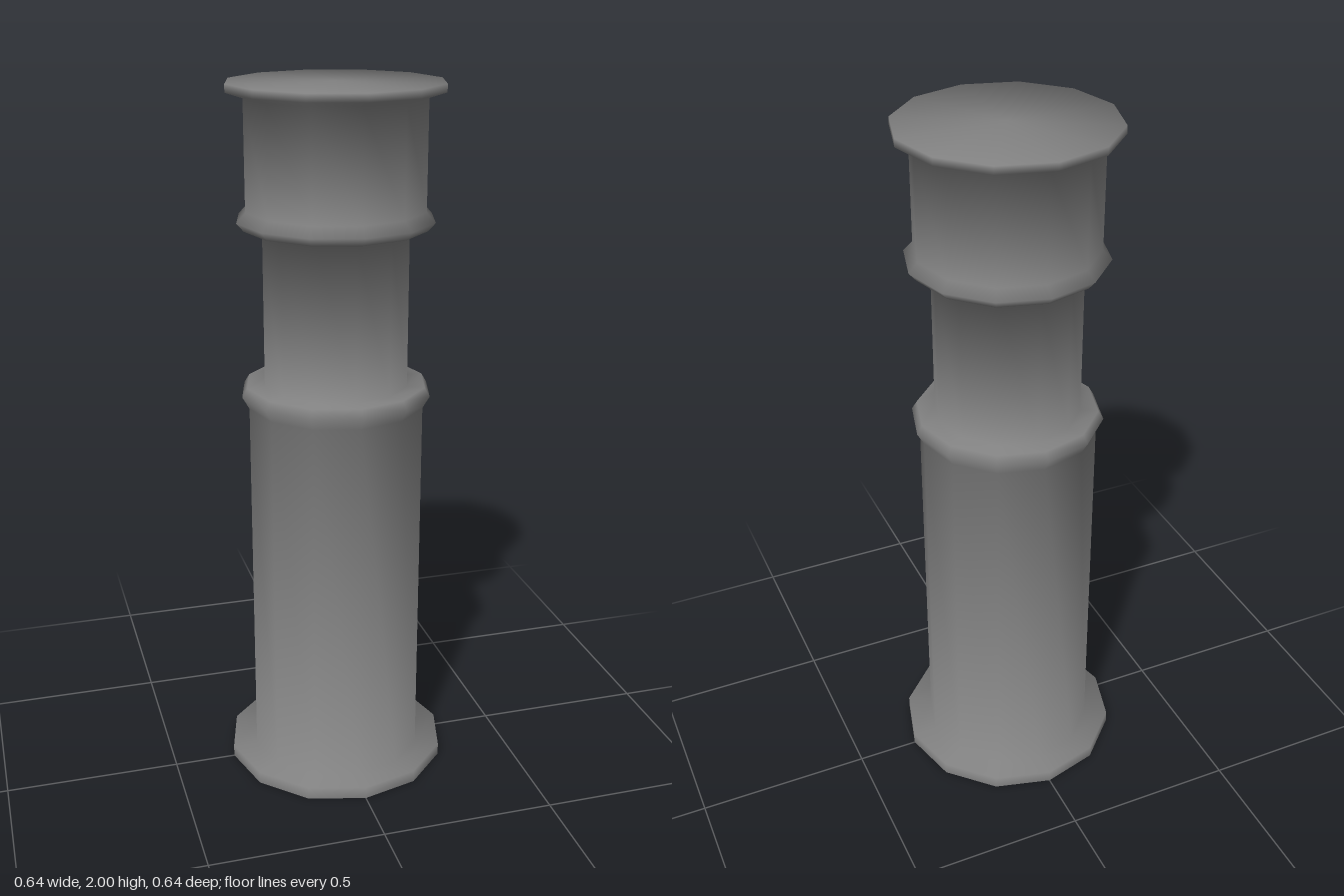
import * as THREE from 'three';

const SIDES = 12;
const material = new THREE.MeshStandardMaterial({ color: 0x808080, side: THREE.DoubleSide });

// Whole outline as [radius, height], from the open foot to the closed top
const outline = [
  [0.322, 0], [0.322, 0.035], [0.25, 0.035],
  [0.25, 1.115], [0.27, 1.15], [0.255, 1.175], [0.205, 1.175],
  [0.205, 1.615], [0.255, 1.615], [0.275, 1.638], [0.25, 1.665],
  [0.25, 1.963], [0.297, 1.978], [0.297, 2], [0, 2],
].map(([r, y]) => new THREE.Vector2(r, y));

// Outward direction of each outline segment
const facing = outline.slice(1).map((p, i) => {
  const d = p.clone().sub(outline[i]).normalize();
  return new THREE.Vector2(d.y, -d.x);
});

// Soft normal at each point: even blend of its two segments, straight up at the centre
const soft = outline.map((p, i) => {
  if (p.x === 0) return new THREE.Vector2(0, 1);
  return facing[i].clone().add(facing[Math.max(i - 1, 0)]).normalize();
});

// Turned part between two outline points, shaded smoothly across all its edges
function turned(name, first, last) {
  const geometry = new THREE.LatheGeometry(outline.slice(first, last + 1), SIDES);
  const count = last - first + 1;
  const normals = geometry.attributes.normal;
  for (let i = 0; i < normals.count; i++) {
    const angle = Math.floor(i / count) * Math.PI * 2 / SIDES;
    const n = soft[first + i % count];
    normals.setXYZ(i, n.x * Math.sin(angle), n.y, n.x * Math.cos(angle));
  }
  const mesh = new THREE.Mesh(geometry, material);
  mesh.name = name;
  return mesh;
}

export function createModel() {
  const group = new THREE.Group();
  group.name = 'steppedColumn';
  group.add(
    turned('footFlange', 0, 2),
    turned('lowerTube', 2, 3),
    turned('lowerCollar', 3, 6),
    turned('neck', 6, 7),
    turned('upperCollar', 7, 10),
    turned('headDrum', 10, 11),
    turned('topRim', 11, 14),
  );
  return group;
}
